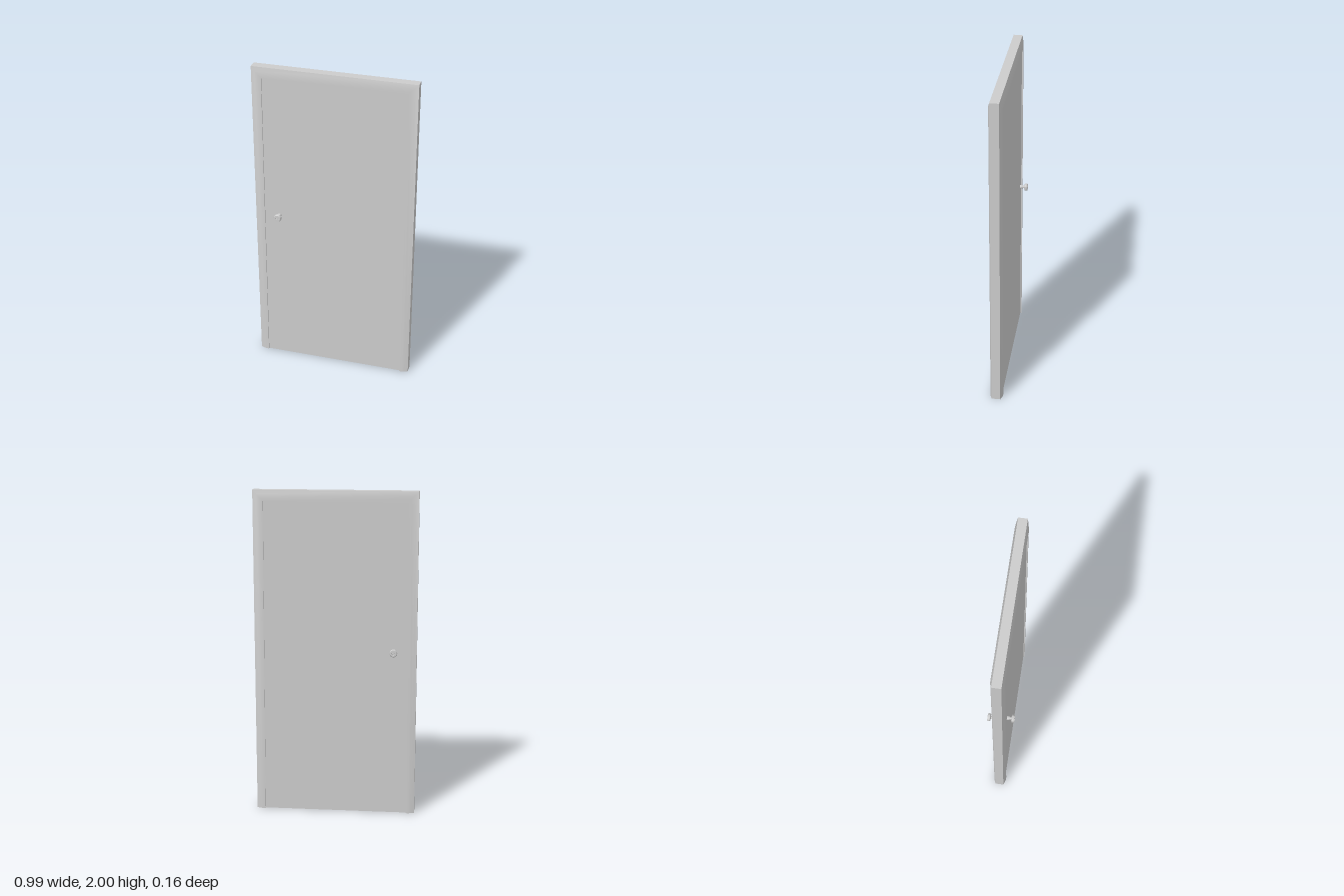
import * as THREE from 'three';
import { toCreasedNormals } from 'three/addons/utils/BufferGeometryUtils.js';

const HALF_W = 0.494, HEIGHT = 2;

// Frame cross-section: [inset from the outer edge, z], rounded on the outer side
const PROFILE = [
  [0.064, -0.031], [0.064, -0.039], [0.044, -0.039], [0.024, -0.035], [0, -0.027],
  [0, 0.027], [0.024, 0.035], [0.044, 0.039], [0.064, 0.039], [0.064, 0.031],
];

// Sweep the section up one jamb, across the head and down the other, mitred at the corners
function frameGeometry() {
  const stations = [
    u => [-HALF_W + u * 0.84, 0],
    u => [-HALF_W + u, HEIGHT - u],
    u => [HALF_W - u, HEIGHT - u],
    u => [HALF_W - u * 0.84, 0],
  ];
  const n = PROFILE.length, positions = [], index = [];
  for (const at of stations) {
    for (const [u, z] of PROFILE) positions.push(...at(u), z);
  }
  for (let s = 0; s < stations.length - 1; s++) {
    for (let i = 0; i < n; i++) {
      const j = (i + 1) % n;
      const a = s * n + i, b = s * n + j, c = a + n, d = b + n;
      index.push(a, b, c, b, d, c);
    }
  }
  const g = new THREE.BufferGeometry();
  g.setAttribute('position', new THREE.Float32BufferAttribute(positions, 3));
  g.setIndex(index);
  return toCreasedNormals(g, 0.6);
}

// Door leaf, slightly wider at the foot to follow the jambs
function leafGeometry() {
  const shape = new THREE.Shape([
    new THREE.Vector2(-0.441, 0.002), new THREE.Vector2(0.441, 0.002),
    new THREE.Vector2(0.431, 1.937), new THREE.Vector2(-0.431, 1.937),
  ]);
  const g = new THREE.ExtrudeGeometry(shape, { depth: 0.064, bevelEnabled: false });
  return g.translate(0, 0, -0.032);
}

// Turned knob: [radius, distance from the leaf], flared collar, neck, disc and lock recess
function knobGeometry() {
  const points = [
    [0.012, 0], [0.012, 0.012], [0.008, 0.020], [0.008, 0.027], [0.019, 0.028],
    [0.0235, 0.032], [0.0235, 0.042], [0.020, 0.047], [0.010, 0.0475],
    [0.009, 0.044], [0.005, 0.044], [0.004, 0.0475], [0, 0.0475],
  ].map(([r, y]) => new THREE.Vector2(r, y));
  const g = new THREE.LatheGeometry(points, 20).rotateX(Math.PI / 2);
  return toCreasedNormals(g, 0.7);
}

export function createModel() {
  const model = new THREE.Group();
  model.name = 'door';
  const material = new THREE.MeshStandardMaterial({ color: 0xcccccc });
  const openMaterial = new THREE.MeshStandardMaterial({ color: 0xcccccc, side: THREE.DoubleSide });

  const add = (name, geometry, mat = material) => {
    const mesh = new THREE.Mesh(geometry, mat);
    mesh.name = name;
    model.add(mesh);
    return mesh;
  };

  add('doorFrame', frameGeometry(), openMaterial);
  add('doorLeaf', leafGeometry());

  // One knob on each face
  const knob = knobGeometry();
  add('frontKnob', knob).position.set(-0.343, 1.035, 0.032);
  const back = add('backKnob', knob);
  back.position.set(-0.355, 1.035, -0.036);
  back.rotation.y = Math.PI;

  return model;
}
